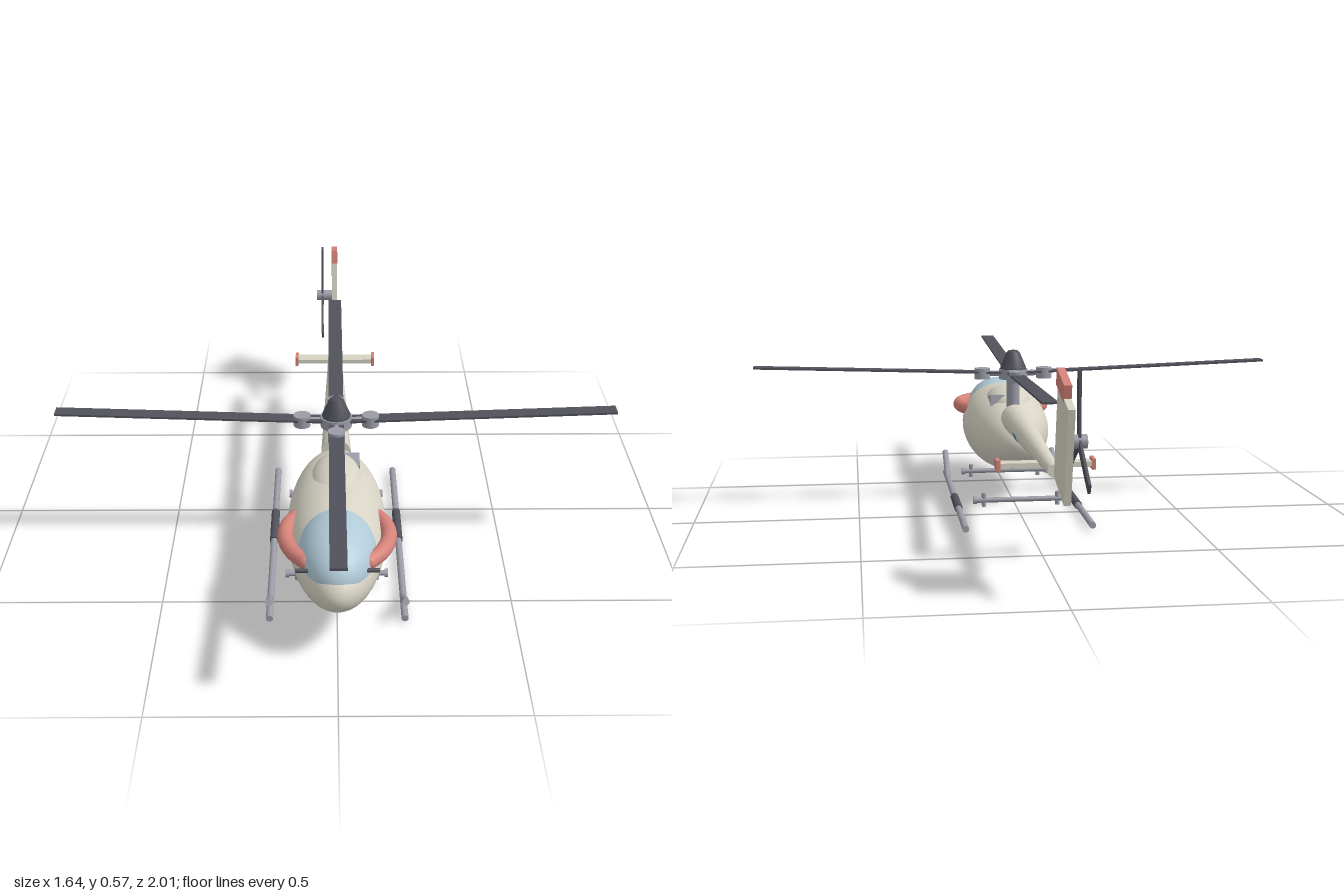
import * as THREE from 'three';

const mat = (color) => new THREE.MeshStandardMaterial({ color });
const cream = mat(0xd6d2c4), pink = mat(0xd58279), glass = mat(0xb0cad8);
const teal = mat(0x5b9aa8), dark = mat(0x50515a), steel = mat(0x9a9ba6);

export function createModel() {
  const model = new THREE.Group();

  const add = (name, geo, material, pos = [0, 0, 0], parent = model) => {
    const mesh = new THREE.Mesh(geo, material);
    mesh.name = name;
    mesh.position.set(...pos);
    parent.add(mesh);
    return mesh;
  };
  const box = (name, size, material, pos, parent) =>
    add(name, new THREE.BoxGeometry(...size), material, pos, parent);
  const ellipsoid = (name, radii, material, pos, sweep = Math.PI) =>
    add(name, new THREE.SphereGeometry(1, 48, 32, 0, Math.PI * 2, 0, sweep).scale(...radii), material, pos);
  // Round bar between two points, r0 at the start and r1 at the end
  const bar = (name, a, b, r0, material, r1 = r0, parent = model) => {
    const from = new THREE.Vector3(...a), dir = new THREE.Vector3(...b).sub(from);
    const mesh = add(name, new THREE.CylinderGeometry(r1, r0, dir.length(), 24), material, [0, 0, 0], parent);
    mesh.position.copy(from).addScaledVector(dir, 0.5);
    mesh.quaternion.setFromUnitVectors(new THREE.Vector3(0, 1, 0), dir.normalize());
    return mesh;
  };

  // Body, canopy and engine cowling
  ellipsoid('fuselage', [0.14, 0.135, 0.375], cream, [0, 0.21, 0.425]);
  ellipsoid('canopy', [0.108, 0.103, 0.172], glass, [0, 0.243, 0.609], Math.PI / 2);
  ellipsoid('engineCowling', [0.075, 0.06, 0.14], cream, [0, 0.3, 0.335]);
  box('airIntake', [0.045, 0.035, 0.06], steel, [0.045, 0.318, 0.26]).rotation.x = 0.2;

  // Curved side floats and nose probes
  for (const s of [-1, 1]) {
    const path = new THREE.CatmullRomCurve3([
      [0.085, 0.685], [0.122, 0.635], [0.142, 0.565], [0.134, 0.5], [0.112, 0.46],
    ].map(([x, z]) => new THREE.Vector3(s * x, 0.262, z)));
    add('sideFloat', new THREE.TubeGeometry(path, 32, 0.022, 16), pink);
    for (const t of [0, 1]) add('floatEnd', new THREE.SphereGeometry(0.022, 16, 12), pink, path.getPoint(t).toArray());
    bar('noseProbe', [s * 0.06, 0.257, 0.72], [s * 0.112, 0.257, 0.72], 0.006, dark);
  }

  // Tail boom with a painted band over its upper half
  bar('tailBoom', [0, 0.28, 0.13], [0, 0.283, -0.71], 0.045, cream, 0.017);
  const band = new THREE.CylinderGeometry(0.0356, 0.0378, 0.065, 24, 1, true, Math.PI / 2, Math.PI);
  add('boomBand', band.rotateX(-Math.PI / 2), teal, [0, 0.281, -0.155]).material = teal;
  teal.side = THREE.DoubleSide;

  // Horizontal stabiliser
  box('stabiliser', [0.25, 0.014, 0.042], cream, [0, 0.27, -0.55]);
  for (const s of [-1, 1]) box('stabiliserTip', [0.01, 0.03, 0.048], pink, [s * 0.13, 0.27, -0.55]);

  // Tilted tail fin
  const fin = new THREE.Group();
  fin.name = 'tailFin';
  fin.position.set(0, 0.385, -0.878);
  fin.rotation.x = -0.235;
  model.add(fin);
  box('finPanel', [0.018, 0.253, 0.168], cream, [0, 0, 0], fin);
  box('finCap', [0.02, 0.045, 0.122], pink, [0, 0.139, 0.045], fin);

  // Three-bladed tail rotor
  const tailRotor = new THREE.Group();
  tailRotor.name = 'tailRotor';
  tailRotor.position.set(-0.042, 0.385, -0.845);
  model.add(tailRotor);
  bar('tailRotorHub', [-0.02, 0, 0], [0.036, 0, 0], 0.018, steel, 0.018, tailRotor);
  for (let i = 0; i < 3; i++) {
    const arm = new THREE.Group();
    arm.rotation.x = i * Math.PI * 2 / 3;
    tailRotor.add(arm);
    box('tailRotorBlade', [0.007, 0.177, 0.027], dark, [0, 0.089, 0], arm);
  }

  // Main rotor
  const rotor = new THREE.Group();
  rotor.name = 'mainRotor';
  rotor.position.set(0, 0, 0.18);
  model.add(rotor);
  bar('mast', [0, 0.29, 0], [0, 0.43, 0], 0.021, steel, 0.021, rotor);
  bar('hubPlate', [0, 0.402, 0], [0, 0.434, 0], 0.046, steel, 0.046, rotor);
  const cap = [[0, 0.425], [0.043, 0.425], [0.041, 0.44], [0.022, 0.485], [0.014, 0.493], [0, 0.493]];
  add('rotorCap', new THREE.LatheGeometry(cap.map((p) => new THREE.Vector2(...p)), 24), dark, [0, 0, 0], rotor);
  for (let i = 0; i < 4; i++) {
    const arm = new THREE.Group();
    arm.rotation.y = i * Math.PI / 2;
    rotor.add(arm);
    bar('bladeGrip', [0.1, 0.403, 0], [0.1, 0.437, 0], 0.025, steel, 0.025, arm);
    bar('gripArm', [0.03, 0.419, 0], [0.1, 0.421, 0], 0.009, steel, 0.009, arm);
    box('rotorBlade', [0.79, 0.006, 0.044], dark, [0.425, 0.436, 0], arm).rotation.z = 0.035;
  }

  // Skids
  for (const s of [-1, 1]) {
    const x = s * 0.19;
    bar('skid', [x, 0.013, -0.23], [x, 0.013, 0.6], 0.01, steel);
    bar('skidGrip', [x, 0.013, 0.035], [x, 0.013, 0.2], 0.013, dark);
    bar('skidFrontStrut', [x, 0.015, 0.5], [x, 0.082, 0.618], 0.01, steel);
  }

  // Cross bars with end discs and upright pins
  for (const z of [0.43, -0.017]) {
    bar('crossBar', [-0.145, 0.05, z], [0.145, 0.05, z], 0.008, steel);
    for (const s of [-1, 1]) {
      bar('crossBarEnd', [s * 0.138, 0.05, z], [s * 0.148, 0.05, z], 0.012, steel);
      bar('crossBarPin', [s * 0.115, 0.03, z], [s * 0.115, 0.072, z], 0.007, steel);
    }
  }

  return model;
}
